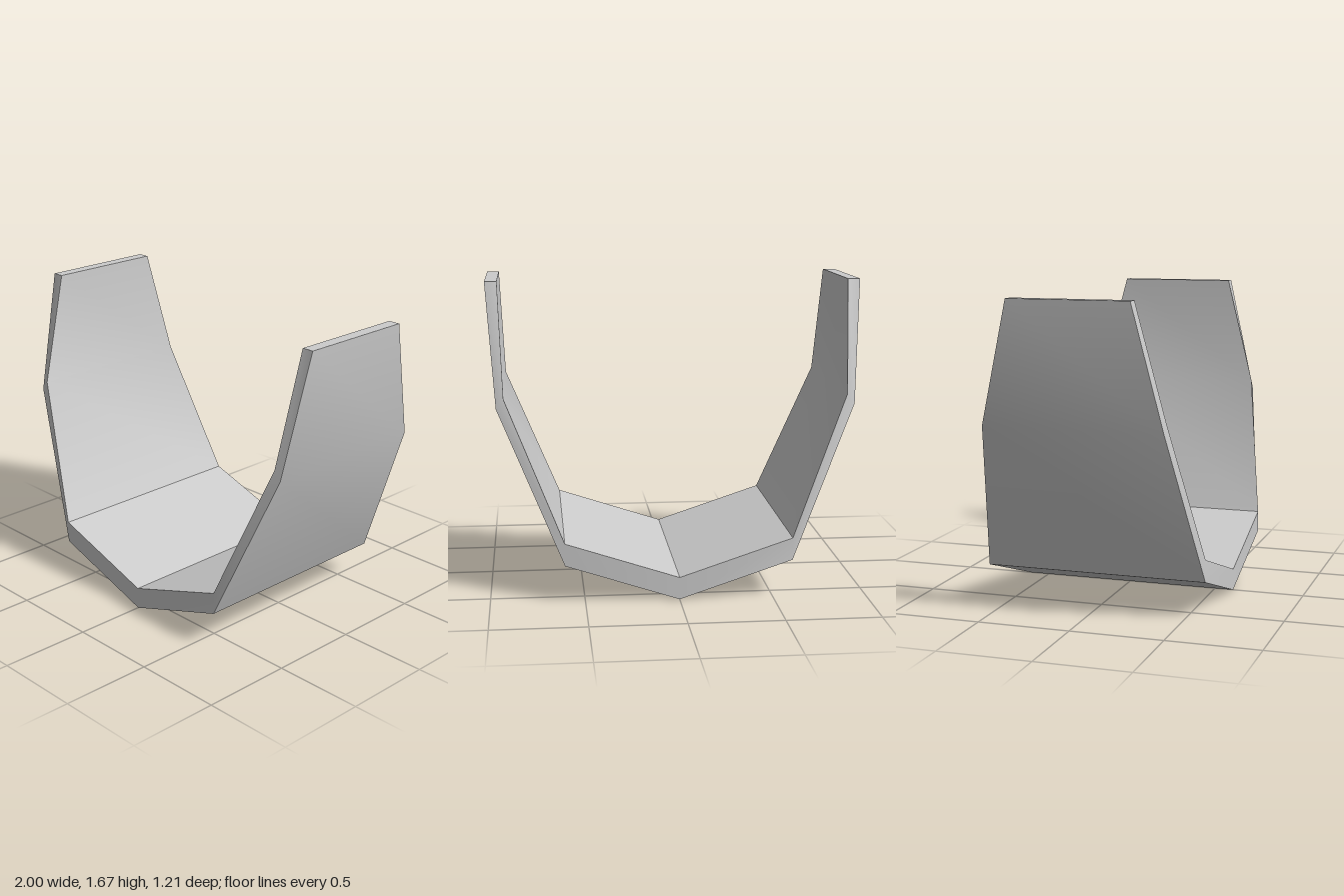
import * as THREE from 'three';
import { toCreasedNormals } from 'three/addons/utils/BufferGeometryUtils.js';

// Half of the band, from the middle out: outer x, outer y, inner x, inner y, half depth
const HALF = [
  [0, 0, 0, 0.12, 0.605],
  [0.605, 0.2, 0.605, 0.32, 0.605],
  [0.95, 1.02, 0.91, 1.07, 0.482],
  [1, 1.67, 0.935, 1.67, 0.325],
];

// Closed strip lofted through four-cornered sections
function loftBand(sections) {
  const positions = [];
  const index = [];
  for (const [ox, oy, ix, iy, d] of sections) {
    positions.push(ox, oy, d, ix, iy, d, ix, iy, -d, ox, oy, -d);
  }
  for (let i = 0; i < sections.length - 1; i++) {
    for (let k = 0; k < 4; k++) {
      const a = i * 4 + k;
      const b = i * 4 + ((k + 1) % 4);
      index.push(a, a + 4, b + 4, a, b + 4, b);
    }
  }
  // End caps
  const e = (sections.length - 1) * 4;
  index.push(0, 1, 2, 0, 2, 3, e, e + 2, e + 1, e, e + 3, e + 2);

  const geometry = new THREE.BufferGeometry();
  geometry.setAttribute('position', new THREE.Float32BufferAttribute(positions, 3));
  geometry.setIndex(index);
  // Keep the lower folds sharp and the upper bend smooth
  return toCreasedNormals(geometry, THREE.MathUtils.degToRad(30));
}

export function createModel() {
  const group = new THREE.Group();
  group.name = 'openCuff';

  // Mirror the half profile across x = 0
  const mirrored = HALF.slice(1).reverse().map(([ox, oy, ix, iy, d]) => [-ox, oy, -ix, iy, d]);
  const material = new THREE.MeshStandardMaterial({ color: 0xcccccc });
  const band = new THREE.Mesh(loftBand([...mirrored, ...HALF]), material);
  band.name = 'cuffBand';
  group.add(band);

  return group;
}
